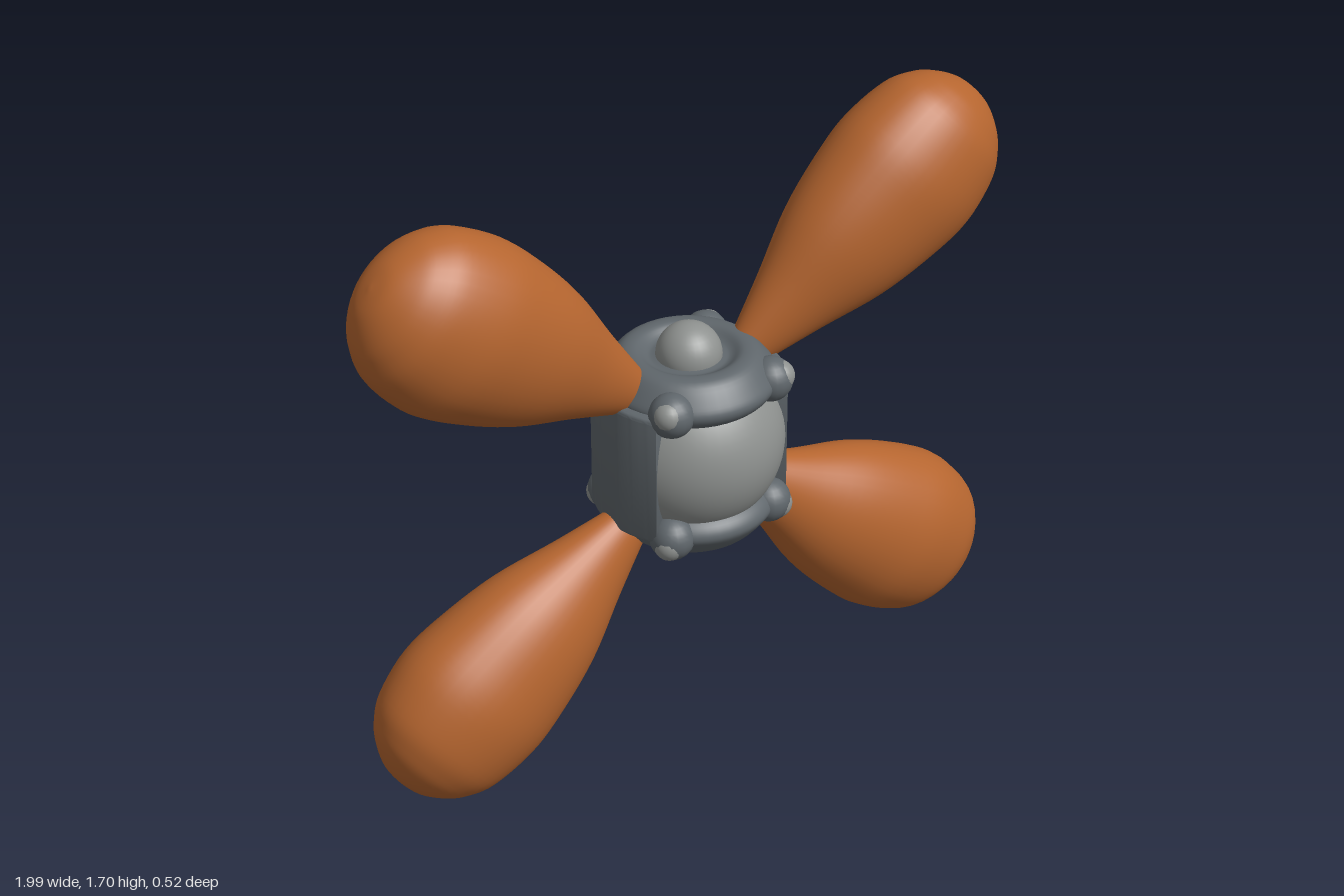
import * as THREE from 'three';
import { mergeVertices, toCreasedNormals } from 'three/addons/utils/BufferGeometryUtils.js';

const CENTRE_Y = 0.855;
const v2 = ([x, y]) => new THREE.Vector2(x, y);

export function createModel() {
  const orange = new THREE.MeshStandardMaterial({ color: 0xb5652f });
  const lightGrey = new THREE.MeshStandardMaterial({ color: 0x8e918f });
  const darkGrey = new THREE.MeshStandardMaterial({ color: 0x5f666b });
  orange.name = 'orange';
  lightGrey.name = 'lightGrey';
  darkGrey.name = 'darkGrey';

  const model = new THREE.Group();
  model.name = 'model';
  const body = new THREE.Group();
  body.name = 'body';
  body.position.y = CENTRE_Y;
  model.add(body);

  const add = (name, geometry, material, x = 0, y = 0, z = 0) => {
    const mesh = new THREE.Mesh(geometry, material);
    mesh.name = name;
    mesh.position.set(x, y, z);
    body.add(mesh);
    return mesh;
  };

  // Core ball and the knob on top
  add('core', new THREE.SphereGeometry(0.26, 48, 32), lightGrey);
  add('topKnob', new THREE.SphereGeometry(0.09, 32, 20), lightGrey, 0, 0.253, 0);

  // Collars: smooth rounded rings; the upper one closes into a dish under the knob
  const collarGeometry = (inner) => {
    const outer = [[0.18, 0.13], [0.222, 0.158], [0.238, 0.19], [0.222, 0.222],
      [0.185, 0.262], [0.145, 0.269], [0.115, 0.252]];
    const pts = new THREE.SplineCurve([...outer, ...inner].map(v2)).getPoints(40);
    return new THREE.LatheGeometry(pts, 48);
  };
  add('topCollar', collarGeometry([[0.095, 0.25], [0.05, 0.262], [0, 0.266]]), darkGrey);
  const lower = add('bottomCollar', collarGeometry([[0.105, 0.225]]), darkGrey);
  lower.rotation.x = Math.PI;

  // Curved side panels joining the collars
  const half = 0.58, height = 0.36, bevel = 0.012;
  const arc = new THREE.Shape();
  arc.absarc(0, 0, 0.252, -half, half, false);
  arc.absarc(0, 0, 0.19, half, -half, true);
  arc.closePath();
  let panel = new THREE.ExtrudeGeometry(arc, {
    depth: height, curveSegments: 16, bevelEnabled: true,
    bevelSize: bevel, bevelThickness: bevel, bevelSegments: 3,
  });
  panel.translate(0, 0, -height / 2);
  panel.rotateX(-Math.PI / 2);
  panel = toCreasedNormals(panel, 0.7);
  for (const [name, turn] of [['leftPanel', 0], ['rightPanel', Math.PI]]) {
    add(name, panel, darkGrey).rotation.y = turn;
  }

  // Rounded bolts on dark bosses at the eight corners
  const bolt = new THREE.SphereGeometry(0.043, 20, 14);
  const boss = new THREE.SphereGeometry(0.062, 20, 14);
  for (const x of [-1, 1]) for (const y of [-1, 1]) for (const z of [-1, 1]) {
    add('boss', boss, darkGrey, x * 0.16, y * 0.192, z * 0.148);
    add('bolt', bolt, lightGrey, x * 0.178, y * 0.202, z * 0.162);
  }

  // Lobe: a club profile, flattened front to back and bent slightly near the root
  const profile = [[0.045, 0.22], [0.07, 0.29], [0.128, 0.45], [0.198, 0.63],
    [0.236, 0.8], [0.248, 0.93], [0.224, 1.06], [0.182, 1.13],
    [0.135, 1.172], [0.07, 1.205], [0, 1.215]];
  const points = new THREE.SplineCurve(profile.map(v2)).getPoints(50);
  points[points.length - 1].x = 0;
  let lobe = new THREE.LatheGeometry(points, 40);
  const pos = lobe.attributes.position;
  for (let i = 0; i < pos.count; i++) {
    const bend = 0.008 + 0.03 * Math.max(0, (0.95 - pos.getY(i)) / 0.65);
    pos.setX(i, pos.getX(i) - bend);
    pos.setZ(i, pos.getZ(i) * 0.765);
  }
  lobe.deleteAttribute('uv');
  lobe.deleteAttribute('normal');
  lobe = mergeVertices(lobe, 1e-5);
  lobe.computeVertexNormals();
  lobe.rotateZ(THREE.MathUtils.degToRad(-51.5));

  // Half turns carry the upper left lobe to the other three places
  const turns = {
    upperLeftLobe: [0, 0, 0],
    upperRightLobe: [0, Math.PI, 0],
    lowerLeftLobe: [Math.PI, 0, 0],
    lowerRightLobe: [0, 0, Math.PI],
  };
  for (const [name, turn] of Object.entries(turns)) {
    add(name, lobe, orange).rotation.set(...turn);
  }

  return model;
}
